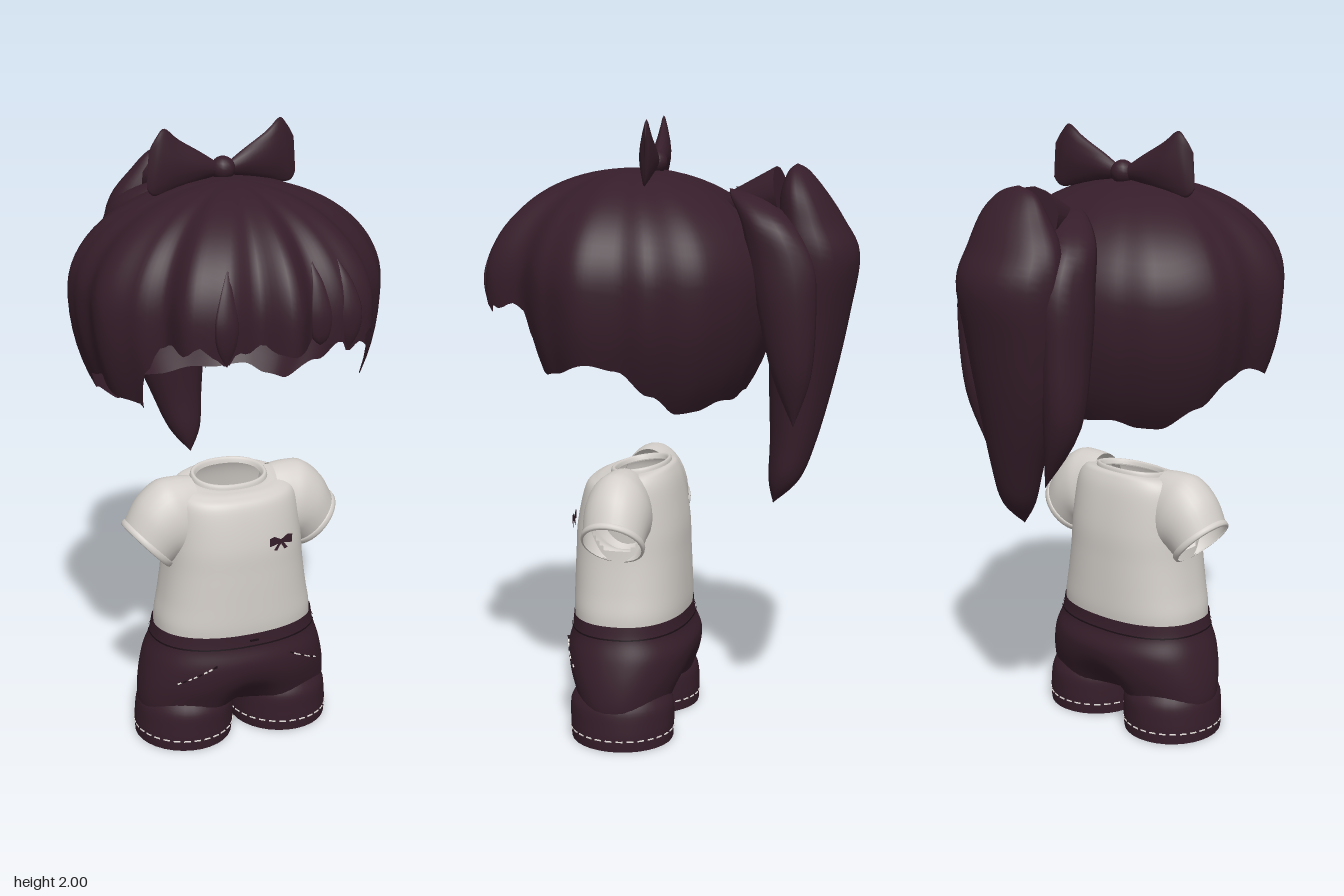
import * as THREE from 'three';

const mat = (name, color) => new THREE.MeshStandardMaterial({ name, color, side: THREE.DoubleSide });
const plum = mat('plum', 0x361e2a);
const cream = mat('cream', 0xd3cec9);
const stitch = mat('stitchWhite', 0xeae5e1);
const seam = mat('seamDark', 0x1a0e15);

const rad = THREE.MathUtils.degToRad;

// Surface from a rule: f(row, col) -> [x, y, z], closed around the columns
function grid(f, rows, cols, skip) {
  const pos = [], idx = [];
  for (let i = 0; i <= rows; i++) for (let j = 0; j < cols; j++) pos.push(...f(i / rows, j / cols));
  const mid = (a, b, k) => (pos[a * 3 + k] + pos[b * 3 + k]) / 2;
  for (let i = 0; i < rows; i++) for (let j = 0; j < cols; j++) {
    const a = i * cols + j, b = i * cols + (j + 1) % cols, c = a + cols, d = b + cols;
    if (skip && skip(mid(a, d, 0), mid(a, d, 1), mid(a, d, 2))) continue;
    idx.push(a, b, c, b, d, c);
  }
  const g = new THREE.BufferGeometry();
  g.setAttribute('position', new THREE.Float32BufferAttribute(pos, 3));
  g.setIndex(idx);
  g.computeVertexNormals();
  return g;
}

// Smooth loft through rings [x, y, z, halfWidth, halfDepth, tiltDegrees, forwardSlope, centrePinch]
function loft(rings, { p = 1, n = 32, sub = 5, skip } = {}) {
  const R = rings.map(r => [...r, 0, 0, 0].slice(0, 8));
  const last = R.length - 1;
  const at = t => {
    const s = t * last, i = Math.min(Math.floor(s), last - 1), u = s - i;
    const q = k => R[Math.max(0, Math.min(last, k))];
    return R[0].map((_, k) => {
      const [a, b, c, d] = [q(i - 1)[k], q(i)[k], q(i + 1)[k], q(i + 2)[k]];
      return b + 0.5 * u * (c - a + u * (2 * a - 5 * b + 4 * c - d + u * (3 * (b - c) + d - a)));
    });
  };
  const pw = v => Math.sign(v) * Math.abs(v) ** p;
  return grid((t, u) => {
    const [x, y, z, a, b, tilt, slope, pinch] = at(t), w = u * Math.PI * 2;
    const e = Math.max(a, 0.0005) * pw(Math.cos(w));
    const f = Math.max(b, 0.0005) * pw(Math.sin(w)) * (1 - pinch * Math.exp(-((e / .085) ** 2)));
    return [x + e * Math.cos(rad(tilt)), y + e * Math.sin(rad(tilt)) - f * slope, z + f];
  }, last * sub, n, skip);
}

const mirrored = (rings, s) => rings.map(([x, y, z, a, b, t = 0]) => [x * s, y, z, a, b, t * s]);

// Eased lookup in a list of [angle, value] pairs
function lookup(keys, a) {
  const i = Math.max(1, keys.findIndex(k => k[0] >= a));
  const [a0, v0] = keys[i - 1], [a1, v1] = keys[i];
  return THREE.MathUtils.lerp(v0, v1, THREE.MathUtils.smoothstep(a, a0, a1));
}

// Hair outline from above, by signed angle from the front (positive is the left side)
const hairRadius = [[-180, .455], [-158, .475], [-145, .48], [-131, .499], [-111, .507], [-101, .488], [-90, .467],
  [-75, .498], [-61, .468], [-50, .433], [-38, .49], [-25, .47], [-13, .425], [0, .48], [11, .425], [23, .463],
  [34, .486], [51, .425], [69, .46], [84, .488], [100, .46], [111, .482], [122, .47], [133, .482], [146, .479],
  [158, .474], [180, .455]];
// Height of the ragged hair edge, by angle from the front on either side
const hairEdge = [[0, 1.41], [6, 1.42], [11, 1.445], [17, 1.42], [21, 1.43], [25, 1.39], [30, 1.42], [34, 1.45],
  [40, 1.42], [46, 1.44], [52, 1.42], [57, 1.35], [63, 1.23], [70, 1.24], [87, 1.28], [98, 1.26], [112, 1.18],
  [127, 1.11], [138, 1.115], [150, 1.14], [165, 1.13], [180, 1.14]];

function hairPoint(deg, y) {
  const c = (y - 1.5) / (y > 1.5 ? .34 : .58);
  const r = lookup(hairRadius, deg) * Math.sqrt(Math.max(0, 1 - c * c));
  return [r * Math.sin(rad(deg)), y, .12 + r * Math.cos(rad(deg))];
}

export function createModel() {
  const model = new THREE.Group();
  const group = name => { const g = new THREE.Group(); g.name = name; model.add(g); return g; };
  const add = (parent, name, geo, material) => {
    const m = new THREE.Mesh(geo, material);
    m.name = name;
    parent.add(m);
    return m;
  };

  // Hair cap with ragged lower edge
  const hair = group('hair');
  add(hair, 'hairCap', grid((t, u) => {
    const deg = 180 - u * 360;
    const c = (lookup(hairEdge, Math.abs(deg)) - 1.5) / .58;
    const k = Math.cos(t * Math.acos(c));
    return hairPoint(deg, 1.5 + k * (k > 0 ? .34 : .58));
  }, 24, 180), plum);

  // Slightly raised fringe strands
  for (const [deg, tip] of [[-25, 1.39], [14, 1.42], [25, 1.4]]) {
    const rows = [[1.66, .002], [1.6, .02], [1.52, .036], [1.45, .03], [tip, .001]];
    add(hair, 'fringeStrand', loft(rows.map(([y, w]) => [...hairPoint(deg, y), w, w * .35]), { n: 12 }), plum);
  }

  // Ponytail: main lock, two side locks and the gathered root
  const tail = group('ponytail');
  add(tail, 'mainLock', loft([[0, 1.862, -.405, 0, 0], [0, 1.84, -.41, .07, .03], [0, 1.78, -.425, .125, .066],
    [-.02, 1.69, -.447, .17, .1], [-.02, 1.58, -.47, .185, .13], [-.02, 1.4, -.45, .17, .125],
    [-.01, 1.2, -.43, .14, .105], [.02, 1, -.41, .09, .075], [.04, .87, -.385, .055, .05], [.05, .79, -.352, 0, 0]],
  { n: 20 }), plum);
  add(tail, 'leftLock', loft([[.04, 1.785, -.2, 0, 0], [.08, 1.76, -.265, .05, .05], [.135, 1.69, -.34, .07, .08],
    [.16, 1.57, -.39, .06, .1], [.16, 1.42, -.41, .06, .09], [.15, 1.22, -.425, .045, .06],
    [.14, 1.06, -.43, 0, 0]], { n: 14 }), plum);
  add(tail, 'rightLock', loft([[-.04, 1.785, -.2, 0, 0], [-.08, 1.76, -.265, .05, .05], [-.15, 1.69, -.34, .07, .08],
    [-.18, 1.57, -.39, .065, .1], [-.185, 1.4, -.4, .065, .09], [-.175, 1.15, -.41, .055, .06],
    [-.1, .95, -.41, 0, 0]], { n: 14 }), plum);
  const root = new THREE.CylinderGeometry(.115, .045, .18, 14);
  root.scale(1, 1, .8).rotateX(-Math.PI / 2 + .2);
  add(tail, 'gatheredRoot', root, plum).position.set(0, 1.745, -.27);

  // Hair bow
  const bow = group('hairBow');
  const wing = [[.02, 1.86, .05, .02, .014, 90], [.08, 1.873, .042, .045, .026, 91], [.16, 1.885, .032, .077, .026, 95],
    [.215, 1.898, .022, .101, .016, 98], [.24, 1.892, .017, .085, .007, 98], [.259, 1.88, .012, .055, 0, 94]];
  add(bow, 'leftBowWing', loft(wing, { n: 16, p: 1.15 }), plum);
  add(bow, 'rightBowWing', loft(mirrored(wing, -1).map(r => [r[0], r[1], .1 - r[2], ...r.slice(3)]), { n: 16, p: 1.15 }), plum);
  add(bow, 'bowKnot', new THREE.SphereGeometry(.038, 16, 12), plum).position.set(0, 1.86, .05);

  // Shirt body with arm holes
  const shirt = group('shirt');
  add(shirt, 'shirtBody', loft([[0, .872, .1, .12, .088, 0, .16], [0, .872, .104, .145, .102, 0, .15],
    [0, .862, .113, .185, .125, 0, .1], [0, .82, .12, .212, .152], [0, .7, .124, .225, .176], [0, .6, .125, .233, .181],
    [0, .5, .125, .247, .184], [0, .43, .125, .26, .185], [0, .385, .125, .262, .182]], {
    p: .85, n: 80, sub: 7,
    skip: (x, y, z) => Math.abs(x) > .15 && (y - .725) ** 2 + (z - .115) ** 2 < .0077,
  }), cream);
  add(shirt, 'collar', loft([[0, .87, .1, .108, .078, 0, .16], [0, .885, .1, .115, .083, 0, .16],
    [0, .884, .1, .125, .093, 0, .16], [0, .862, .1, .13, .097, 0, .16]], { p: .9, n: 40, sub: 3 }), cream);

  // Sleeves and cuffs
  const sleeve = [[.13, .765, .115, .13, .09, 85], [.17, .76, .115, .142, .1, 78], [.205, .757, .115, .142, .106, 68],
    [.253, .733, .114, .12, .104, 56], [.293, .683, .112, .099, .096, 47]];
  const cuff = [[.281, .694, .112, .102, .099, 47], [.284, .691, .112, .107, .103, 47],
    [.295, .681, .112, .106, .102, 47], [.297, .679, .112, .097, .094, 47]];
  for (const s of [1, -1]) {
    const side = s > 0 ? 'left' : 'right';
    add(shirt, side + 'Sleeve', loft(mirrored(sleeve, s)), cream);
    add(shirt, side + 'Cuff', loft(mirrored(cuff, s), { sub: 2 }), cream);
  }

  // Small flat bow on the chest
  const chest = group('chestBow');
  chest.position.set(.095, .705, .303);
  chest.rotation.y = .16;
  for (const s of [1, -1]) {
    const plate = pts => new THREE.ShapeGeometry(new THREE.Shape(pts.map(([x, y]) => new THREE.Vector2(x * s, y))));
    add(chest, 'chestBowLoop', plate([[0, .006], [.025, .02], [.043, .016], [.042, -.012], [.025, -.01], [0, -.004]]), plum);
    add(chest, 'chestBowTail', plate([[0, .002], [.012, -.008], [.026, -.026], [.014, -.03], [0, -.008]]), plum);
  }

  // Shorts: one hip shell that pinches into two legs
  const shorts = group('shorts');
  add(shorts, 'shortsHips', loft([[0, .4, .125, .27, .187], [0, .35, .124, .279, .192], [0, .29, .12, .3, .209],
    [0, .22, .12, .317, .2, 0, 0, .06], [0, .155, .12, .325, .178, 0, 0, .28], [0, .11, .12, .322, .163, 0, 0, .55],
    [0, .07, .119, .312, .15, 0, 0, 1]], { p: .88, n: 96 }), plum);
  add(shorts, 'waistSeam', loft([[0, .362, .124, .2795, .1935], [0, .357, .124, .2805, .1945]], { p: .88, n: 48, sub: 1 }), seam);
  add(shorts, 'fastening', new THREE.BoxGeometry(.03, .006, .004), seam).position.set(0, .378, .3155);
  const leg = [[.166, .165, .12, .14, .15], [.168, .125, .12, .157, .169], [.17, .07, .119, .162, .171],
    [.171, .035, .119, .163, .17], [.172, 0, .118, .16, .167]];
  for (const s of [1, -1]) {
    add(shorts, s > 0 ? 'leftLeg' : 'rightLeg', loft(mirrored(leg, s)), plum);
    // Dashed hem stitching
    for (let i = 0; i < 30; i++) {
      const a = i / 30 * Math.PI * 2;
      const d = add(shorts, 'hemStitch', new THREE.BoxGeometry(.004, .004, .022), stitch);
      d.position.set(s * .171 + .163 * Math.cos(a), .036, .119 + .17 * Math.sin(a));
      d.rotation.y = -a;
    }
    // Slanted pocket stitching
    for (let i = 0; i < 8; i++) {
      const x = .135 + i * .015, y = .305 - i * .0085;
      const k = (.29 - y) / .07;
      const z = .12 + (.208 - k * .007) * (1 - (x / (.3 + k * .017)) ** 2.27) ** .44;
      const d = add(shorts, 'pocketStitch', new THREE.BoxGeometry(.012, .004, .009), i % 3 ? stitch : seam);
      d.position.set(s * x, y, z);
      d.rotation.set(0, s * .45, -s * .5);
    }
  }
  return model;
}
